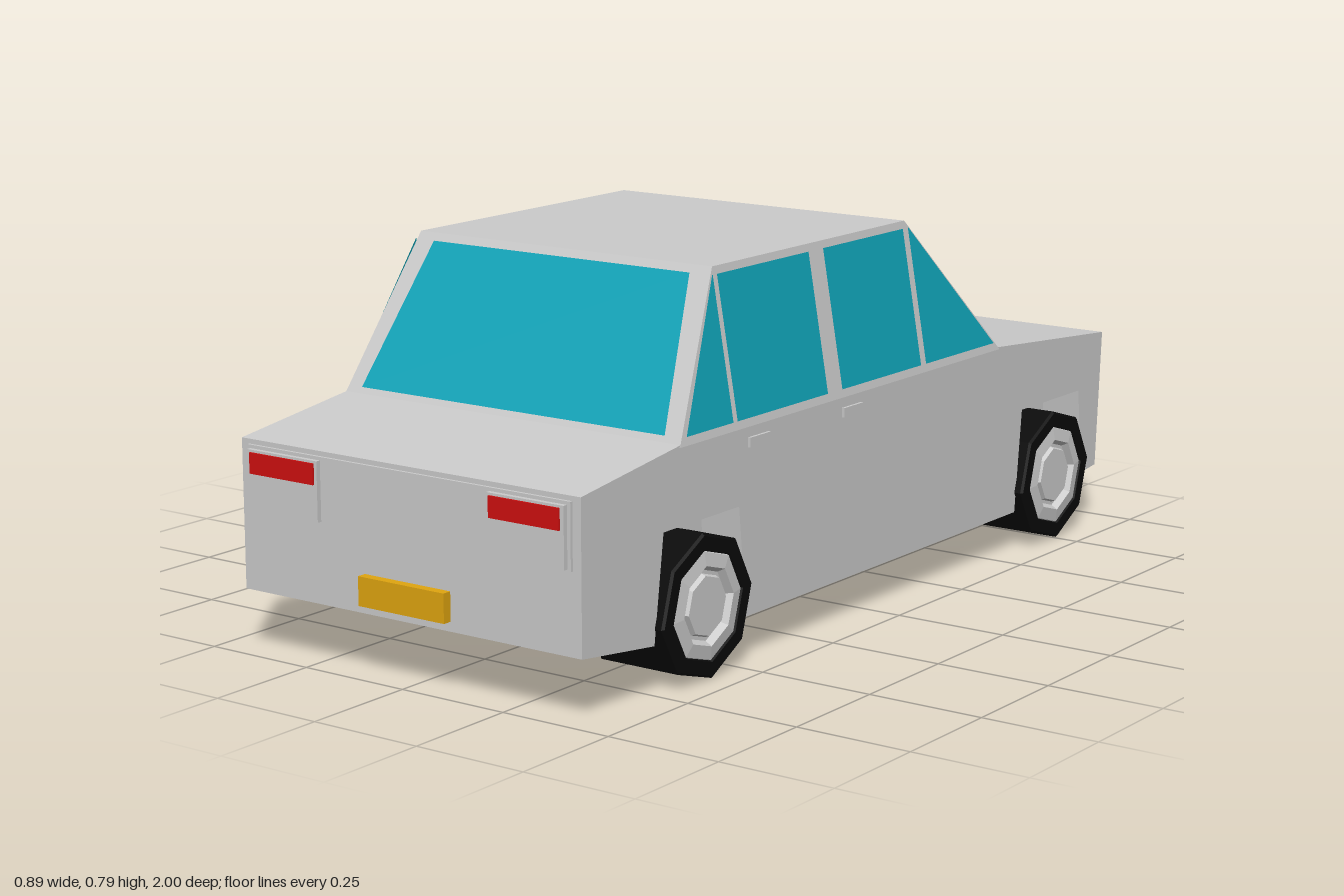
import * as THREE from 'three';

const material = (color, extra = {}) => new THREE.MeshStandardMaterial({ color, flatShading: true, ...extra });
const grey = material(0xcccccc);
const black = material(0x0a0a0a);
const red = material(0xd01010);
const yellow = material(0xb4c40a);
const amber = material(0xe0a510);
const glass = material(0x10a4b8, { side: THREE.DoubleSide });

function add(parent, name, geometry, mat, x = 0, y = 0, z = 0) {
  const mesh = new THREE.Mesh(geometry, mat);
  mesh.name = name;
  mesh.position.set(x, y, z);
  parent.add(mesh);
  return mesh;
}

// Box given by its limits on each axis
function block(parent, name, mat, [x0, x1], [y0, y1], [z0, z1]) {
  return add(parent, name, new THREE.BoxGeometry(x1 - x0, y1 - y0, z1 - z0), mat,
    (x0 + x1) / 2, (y0 + y1) / 2, (z0 + z1) / 2);
}

// Side profile of (z, y) points extruded across x
function slab(points, x0, x1) {
  const shape = new THREE.Shape(points.map(p => new THREE.Vector2(...p)));
  const g = new THREE.ExtrudeGeometry(shape, { depth: x1 - x0, bevelEnabled: false });
  return g.rotateY(-Math.PI / 2).translate(x1, 0, 0);
}

// Cabin limits at the belt line and at the roof
const BELT = { y: 0.48, x: 0.425, front: 0.67, back: -0.51 };
const ROOF = { y: 0.795, x: 0.37, front: 0.49, back: -0.205 };
const at = (key, y) => THREE.MathUtils.mapLinear(y, BELT.y, ROOF.y, BELT[key], ROOF[key]);

function cabinGeometry() {
  const g = new THREE.BoxGeometry(2, 1, 2).toNonIndexed();
  const p = g.attributes.position;
  for (let i = 0; i < p.count; i++) {
    const y = p.getY(i) > 0 ? ROOF.y : BELT.y - 0.005;
    p.setXYZ(i, p.getX(i) * at('x', y), y, at(p.getZ(i) > 0 ? 'front' : 'back', y));
  }
  g.computeVertexNormals();
  return g;
}

// Flat pane from four corners, in order around the edge
function pane(parent, name, corners) {
  const g = new THREE.BufferGeometry();
  g.setAttribute('position', new THREE.Float32BufferAttribute(corners.flat(), 3));
  g.setIndex([0, 1, 2, 0, 2, 3]);
  g.computeVertexNormals();
  add(parent, name, g, glass);
}

function createWheel() {
  const wheel = new THREE.Group();
  // Tyre with a hollow outer face, axle along x
  const tyre = new THREE.LatheGeometry([
    [0, -0.095], [0.15, -0.095], [0.15, 0.09], [0.145, 0.095], [0.116, 0.095], [0.11, 0.075], [0, 0.075],
  ].map(p => new THREE.Vector2(...p)), 8);
  const rim = new THREE.LatheGeometry([
    [0.116, 0.08], [0.112, 0.092], [0.083, 0.096], [0.074, 0.082], [0.066, 0.082], [0.062, 0.092], [0, 0.092],
  ].map(p => new THREE.Vector2(...p)), 8);
  for (const [name, g, mat] of [['tyre', tyre, black], ['rim', rim, grey]]) {
    g.rotateY(0.1).rotateZ(-Math.PI / 2);
    add(wheel, name, g, mat);
  }
  return wheel;
}

export function createModel() {
  const car = new THREE.Group();
  car.name = 'car';

  // Lower body: narrow core plus outer sides notched for the wheels
  const top = [[-0.96, 0.13], [-0.98, 0.44], [-0.51, 0.48], [0.67, 0.48], [0.98, 0.44], [0.98, 0.13]];
  const arches = [
    [0.755, 0.102], [0.725, 0.32], [0.475, 0.32], [0.45, 0.09],
    [-0.595, 0.09], [-0.62, 0.32], [-0.875, 0.32], [-0.895, 0.123],
  ];
  add(car, 'bodyCore', slab([...top, [0.66, 0.09], [-0.55, 0.09]], -0.33, 0.33), grey);
  add(car, 'leftBodySide', slab([...top, ...arches], 0.33, 0.425), grey);
  add(car, 'rightBodySide', slab([...top, ...arches], -0.425, -0.33), grey);

  // Cabin and glazing
  const cabin = new THREE.Group();
  cabin.name = 'cabin';
  car.add(cabin);
  add(cabin, 'cabinShell', cabinGeometry(), grey);
  const lo = 0.493, hi = 0.78, gap = 0.004;
  for (const [name, key, s, xLo, xHi] of [
    ['frontWindow', 'front', 1, 0.385, 0.325], ['backWindow', 'back', -1, 0.37, 0.335],
  ]) {
    const zLo = at(key, lo) + s * gap, zHi = at(key, hi) + s * gap;
    pane(cabin, name, [[-s * xLo, lo, zLo], [s * xLo, lo, zLo], [s * xHi, hi, zHi], [-s * xHi, hi, zHi]]);
  }
  // Each side window: lower front, lower back, upper front, upper back z
  const sideWindows = [
    [0.652, 0.497, 0.499, 0.497], [0.483, 0.165, 0.483, 0.165],
    [0.112, -0.19, 0.112, -0.19], [-0.21, -0.488, -0.21, -0.212],
  ];
  for (const s of [1, -1]) {
    const xl = s * (at('x', lo) + gap), xh = s * (at('x', hi) + gap);
    for (const [a, b, c, d] of sideWindows) {
      const corners = [[xl, lo, a], [xl, lo, b], [xh, hi, d], [xh, hi, c]];
      pane(cabin, 'sideWindow', s > 0 ? corners : corners.reverse());
    }
  }

  // Lamps, handles and wheels on both sides
  for (const s of [1, -1]) {
    const side = s > 0 ? 'left' : 'right';
    const span = (a, b) => (s > 0 ? [a, b] : [-b, -a]);
    block(car, side + 'RedLampHousing', grey, span(0.213, 0.397), [0.3, 0.423], [0.97, 0.996]);
    block(car, side + 'RedLamp', red, span(0.22, 0.388), [0.375, 0.418], [0.98, 1]);
    block(car, side + 'YellowLampHousing', grey, span(0.207, 0.4), [0.298, 0.426], [-0.992, -0.96]);
    block(car, side + 'YellowLamp', yellow, span(0.215, 0.392), [0.304, 0.42], [-0.997, -0.97]);
    for (const z of [0.075, 0.41])
      block(car, side + 'DoorHandle', grey, span(0.42, 0.431), [0.434, 0.454], [z - 0.035, z + 0.035]);
    for (const z of [0.605, -0.743]) {
      const wheel = createWheel();
      wheel.name = side + (z > 0 ? 'FrontWheel' : 'BackWheel');
      wheel.position.set(s * 0.35, 0.15, z);
      if (s < 0) wheel.rotation.y = Math.PI;
      car.add(wheel);
    }
  }

  // End panels and plates
  block(car, 'frontPanel', grey, [-0.405, 0.405], [0.296, 0.43], [0.96, 0.986]);
  block(car, 'frontPlate', amber, [-0.108, 0.108], [0.15, 0.21], [0.96, 1]);
  block(car, 'backPanel', grey, [-0.405, 0.405], [0.294, 0.43], [-0.984, -0.95]);
  block(car, 'backBadgeBlock', grey, [-0.055, 0.055], [0.345, 0.385], [-0.994, -0.96]);
  block(car, 'backPlate', amber, [-0.108, 0.108], [0.163, 0.218], [-0.978, -0.94]);
  // Thin upright ribs between the lamps
  for (const x of [-0.16, -0.1, 0.1, 0.16])
    block(car, 'backPanelRib', grey, [x - 0.008, x + 0.008], [0.3, 0.425], [-0.988, -0.96]);

  return car;
}
